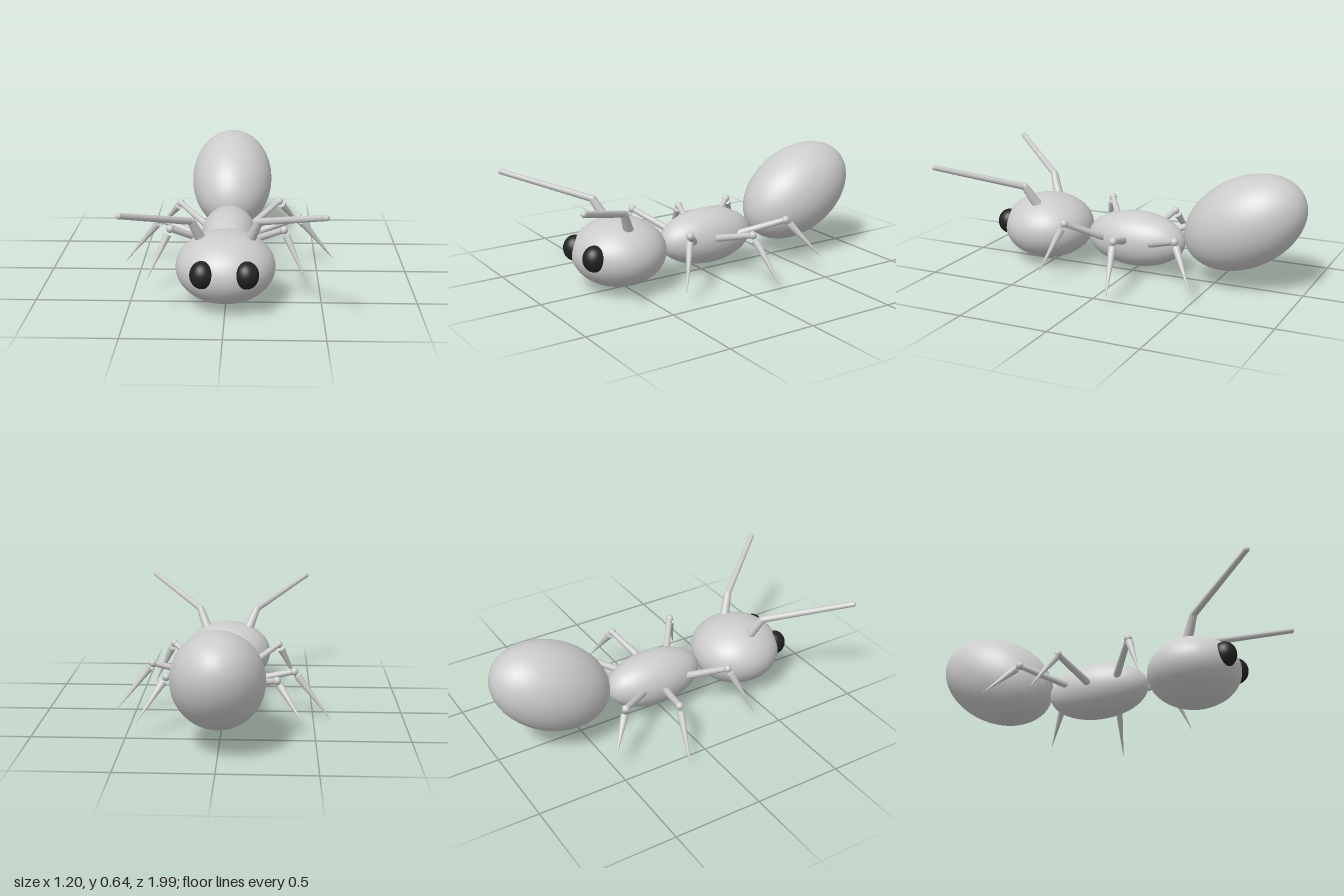
import * as THREE from 'three';

const grey = new THREE.MeshStandardMaterial({ color: 0xcccccc });
const dark = new THREE.MeshStandardMaterial({ color: 0x222222 });

// Smooth ellipsoid with given centre, radii and pitch about x
function ellipsoid(name, pos, radii, pitch = 0, material = grey) {
  const mesh = new THREE.Mesh(new THREE.SphereGeometry(1, 40, 28), material);
  mesh.name = name;
  mesh.position.set(...pos);
  mesh.scale.set(...radii);
  mesh.rotation.x = pitch;
  return mesh;
}

// Tapered round rod between two points
function rod(name, a, b, ra, rb) {
  const dir = b.clone().sub(a);
  const mesh = new THREE.Mesh(new THREE.CylinderGeometry(rb, ra, dir.length(), 16), grey);
  mesh.name = name;
  mesh.position.copy(a).addScaledVector(dir, 0.5);
  mesh.quaternion.setFromUnitVectors(new THREE.Vector3(0, 1, 0), dir.normalize());
  return mesh;
}

function ball(name, p, r) {
  const mesh = new THREE.Mesh(new THREE.SphereGeometry(r, 16, 12), grey);
  mesh.name = name;
  mesh.position.copy(p);
  return mesh;
}

// Thigh, knee ball and pointed shin
function leg(name, hip, knee, foot) {
  const g = new THREE.Group();
  g.name = name;
  const [h, k, f] = [hip, knee, foot].map((p) => new THREE.Vector3(...p));
  const shinTop = k.clone().addScaledVector(f.clone().sub(k).normalize(), 0.034);
  g.add(
    rod('thigh', h, k, 0.021, 0.016),
    ball('knee', k, 0.022),
    rod('shin', shinTop, f, 0.022, 0.001)
  );
  return g;
}

// Thick lower stalk, bent at an elbow into a long thin feeler
function antenna(name, side) {
  const g = new THREE.Group();
  g.name = name;
  const [base, elbow, tip] = [[0.122, 0.35, 0.535], [0.172, 0.47, 0.59], [0.483, 0.61, 0.978]]
    .map(([x, y, z]) => new THREE.Vector3(side * x, y, z));
  g.add(
    rod('stalk', base, elbow, 0.029, 0.021),
    ball('elbow', elbow, 0.0205),
    rod('feeler', elbow, tip, 0.019, 0.015),
    ball('tip', tip, 0.0155)
  );
  return g;
}

export function createModel() {
  const ant = new THREE.Group();
  ant.name = 'ant';

  // Body
  ant.add(
    ellipsoid('head', [0, 0.212, 0.53], [0.258, 0.186, 0.257]),
    ellipsoid('thorax', [0, 0.2, -0.028], [0.155, 0.156, 0.29]),
    ellipsoid('abdomen', [0.003, 0.37, -0.665], [0.243, 0.243, 0.359], THREE.MathUtils.degToRad(29))
  );

  // Eyes and antennae
  for (const side of [-1, 1]) {
    const label = side > 0 ? 'left' : 'right';
    ant.add(
      ellipsoid(label + 'Eye', [side * 0.111, 0.235, 0.735], [0.063, 0.071, 0.065], 0, dark),
      antenna(label + 'Antenna', side)
    );
  }

  // Legs: hip, knee, foot, with the pose differing slightly per side
  ant.add(
    leg('leftFrontLeg', [0.11, 0.215, 0.12], [0.305, 0.328, 0.27], [0.425, 0.07, 0.37]),
    leg('rightFrontLeg', [-0.11, 0.215, 0.12], [-0.307, 0.328, 0.268], [-0.43, 0.07, 0.37]),
    leg('leftMiddleLeg', [0.13, 0.218, -0.01], [0.395, 0.297, -0.07], [0.598, 0.038, -0.12]),
    leg('rightMiddleLeg', [-0.13, 0.19, -0.03], [-0.393, 0.266, -0.1], [-0.6, 0.003, -0.155]),
    leg('leftRearLeg', [0.11, 0.21, -0.15], [0.29, 0.305, -0.375], [0.437, 0.097, -0.52]),
    leg('rightRearLeg', [-0.11, 0.205, -0.15], [-0.295, 0.29, -0.375], [-0.432, 0.1, -0.52])
  );
  return ant;
}
